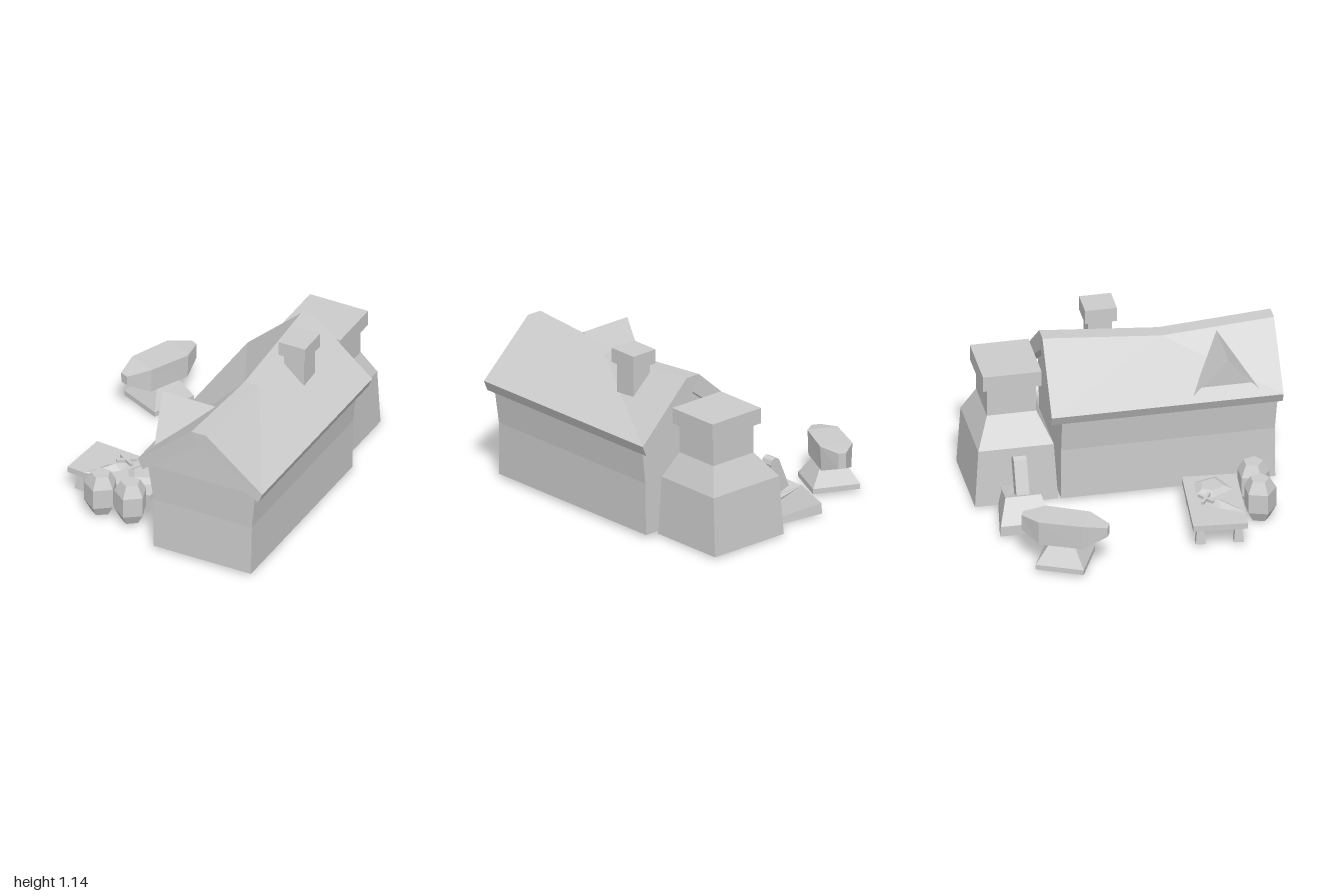
import * as THREE from 'three';

const grey = new THREE.MeshStandardMaterial({ color: 0xcccccc, flatShading: true });
const greyOpen = new THREE.MeshStandardMaterial({ color: 0xcccccc, flatShading: true, side: THREE.DoubleSide });

function mesh(name, geometry, parent, material = grey) {
  const m = new THREE.Mesh(geometry, material);
  m.name = name;
  parent.add(m);
  return m;
}

// Flat-faced geometry from a list of triangles of [x, y, z] corners
function fromTriangles(tris) {
  const g = new THREE.BufferGeometry();
  g.setAttribute('position', new THREE.Float32BufferAttribute(tris.flat(2), 3));
  g.computeVertexNormals();
  return g;
}

// Skin through matching rings, capped at the end and, unless open, at the start.
// The faces are turned outward by the sign of the volume.
function loft(rings, { open = false, flip = () => false } = {}) {
  const tris = [], n = rings[0].length, last = rings[rings.length - 1];
  for (let i = 0; i < rings.length - 1; i++) {
    for (let j = 0; j < n; j++) {
      const k = (j + 1) % n;
      const [a, b, c, d] = [rings[i][j], rings[i][k], rings[i + 1][k], rings[i + 1][j]];
      if (flip(i, j)) tris.push([a, b, d], [b, c, d]);
      else tris.push([a, b, c], [a, c, d]);
    }
  }
  for (let j = 1; j < n - 1; j++) {
    tris.push([last[0], last[j], last[j + 1]]);
    if (!open) tris.push([rings[0][0], rings[0][j + 1], rings[0][j]]);
  }
  const v = (p) => new THREE.Vector3(...p);
  const volume = tris.reduce((s, [a, b, c]) => s + v(a).dot(v(b).cross(v(c))), 0);
  return fromTriangles(volume < 0 ? tris.map(([a, b, c]) => [a, c, b]) : tris);
}

// Horizontal rectangle used as a loft ring
const rect = (y, x0, x1, z0, z1) => [[x0, y, z0], [x1, y, z0], [x1, y, z1], [x0, y, z1]];

function box(name, parent, x0, x1, y0, y1, z0, z1) {
  return mesh(name, loft([rect(y0, x0, x1, z0, z1), rect(y1, x0, x1, z0, z1)]), parent);
}

// Bar between two points in the xy plane
function bar(name, parent, [xa, ya], [xb, yb], thick, depth, z) {
  const m = mesh(name, new THREE.BoxGeometry(Math.hypot(xb - xa, yb - ya), thick, depth), parent);
  m.position.set((xa + xb) / 2, (ya + yb) / 2, z);
  m.rotation.z = Math.atan2(yb - ya, xb - xa);
  return m;
}

function buildHouse() {
  const g = new THREE.Group();
  g.name = 'house';
  // Walls are hollow and open below
  mesh('walls', loft([
    rect(0.025, 0.08, 0.78, -0.445, 0.945),
    rect(0.38, 0.08, 0.785, -0.445, 0.942),
    rect(0.64, 0.045, 0.815, -0.445, 0.955),
    rect(0.945, 0.43, 0.43, -0.445, 0.955),
  ], { open: true }), g, greyOpen);

  // Roof section along z; the ridge sags in the middle
  const section = (zEave, zRidge, yRidge) => [
    [0.43, 0.93, zRidge], [0.85, 0.61, zEave], [0.88, 0.68, zEave], [0.485, yRidge, zRidge],
    [0.38, yRidge, zRidge], [-0.015, 0.68, zEave], [0.02, 0.61, zEave],
  ];
  mesh('roof', loft(
    [section(-0.525, -0.505, 1.04), section(0.27, 0.27, 0.97), section(0.98, 0.998, 1.02)],
    { flip: (i, j) => j === (i ? 2 : 4) }), g);

  // Dormer: overhanging pointed roof with a recessed gable
  const tip = [-0.025, 0.98, 0.62], back = [0.355, 0.98, 0.62];
  const low = (z) => [0.03, 0.7, z];
  mesh('dormerRoof', fromTriangles([[tip, back, low(0.395)], [tip, low(0.84), back]]), g, greyOpen);
  mesh('dormerGable', fromTriangles([
    [[0.06, 0.95, 0.62], [0.07, 0.72, 0.425], [0.07, 0.72, 0.81]],
  ]), g, greyOpen);

  box('chimneyShaft', g, 0.507, 0.65, 0.8, 1.06, -0.183, -0.028);
  box('chimneyCap', g, 0.482, 0.672, 1.05, 1.147, -0.207, 0);
  return g;
}

function buildForge() {
  const g = new THREE.Group();
  g.name = 'forge';
  mesh('forgeChimney', loft([
    rect(0.015, 0.1, 0.69, -1, -0.46),
    rect(0.41, 0.118, 0.68, -0.975, -0.485),
    rect(0.585, 0.26, 0.605, -0.89, -0.57),
    rect(0.785, 0.26, 0.605, -0.89, -0.57),
  ], { open: true }), g, greyOpen);
  box('forgeChimneyCap', g, 0.225, 0.642, 0.785, 0.89, -0.922, -0.542);

  // Bellows: open below, wide at the lever end and narrowing into the forge
  const across = (x, y, w) => [[x, y, -0.745 - w], [x, y, -0.745 + w]];
  const ring = (...ends) => {
    const [a, b, c] = ends.map((e) => across(...e));
    return [a[0], b[0], c[0], c[1], b[1], a[1]];
  };
  mesh('bellows', loft([
    ring([-0.3, 0.02, 0.175], [0.12, 0.01, 0.1], [0.35, 0.002, 0.09]),
    ring([-0.3, 0.09, 0.17], [0.12, 0.05, 0.095], [0.35, 0.04, 0.085]),
    ring([-0.18, 0.23, 0.115], [0.12, 0.115, 0.08], [0.35, 0.08, 0.07]),
  ], { open: true }), g, greyOpen);
  bar('bellowsLever', g, [-0.105, 0.2], [-0.025, 0.395], 0.08, 0.085, -0.738);
  const knuckle = mesh('leverKnuckle', new THREE.CylinderGeometry(0.04, 0.04, 0.085, 8), g);
  knuckle.rotation.x = Math.PI / 2;
  knuckle.position.set(-0.025, 0.395, -0.738);
  bar('bellowsLink', g, [-0.02, 0.37], [0.14, 0.24], 0.06, 0.035, -0.738);
  return g;
}

function buildAnvil() {
  const g = new THREE.Group();
  g.name = 'anvil';
  const square = (y, h) => rect(y, -h, h, -h, h);
  mesh('anvilFoot', loft([square(0.025, 0.157), square(0.06, 0.157), square(0.18, 0.085)],
    { open: true }), g, greyOpen);
  const slice = (z, top, bottom, y0, y1) =>
    [[-bottom, y0, z], [bottom, y0, z], [top, y1, z], [-top, y1, z]];
  mesh('anvilHead', loft([
    slice(-0.28, 0.025, 0.025, 0.23, 0.335),
    slice(-0.15, 0.108, 0.1, 0.178, 0.345),
    slice(0.14, 0.1, 0.095, 0.178, 0.345),
    slice(0.283, 0.03, 0.028, 0.25, 0.315),
  ]), g);
  g.position.set(-0.675, 0, -0.574);
  g.rotation.y = -0.43;
  return g;
}

function buildTable() {
  const g = new THREE.Group();
  g.name = 'table';
  box('tableTop', g, -0.31, 0.31, 0.14, 0.18, -0.175, 0.175);
  for (const sx of [-1, 1]) {
    for (const sz of [-1, 1]) {
      const leg = mesh('tableLeg', loft([
        rect(0.02, -0.032, 0.032, -0.032, 0.032), rect(0.145, -0.02, 0.02, -0.02, 0.02),
      ]), g);
      leg.position.set(sx * 0.238, 0, sz * 0.122);
    }
  }

  // Things laid on the top: a wedge blade, crossed tongs and a crumpled pouch
  mesh('blade', loft([
    [[-0.19, 0.18, 0.18], [-0.11, 0.18, 0.135], [-0.155, 0.185, 0.155]],
    [[-0.11, 0.18, 0.02], [0, 0.18, 0.035], [-0.05, 0.21, 0.02]],
    [[-0.05, 0.18, -0.04], [0.01, 0.18, -0.03], [-0.015, 0.2, -0.035]],
  ]), g);
  for (const angle of [0.7, -0.45]) {
    const tong = mesh('tong', new THREE.BoxGeometry(0.13, 0.02, 0.02), g);
    tong.position.set(-0.015, 0.205, -0.06);
    tong.rotation.y = angle;
  }
  const pouchRing = (y, s) => [[-0.06, -0.105], [0.09, -0.1], [0.145, 0.045], [-0.02, 0.135], [-0.11, 0]]
    .map(([x, z]) => [0.145 + x * s, y, -0.005 + z * s]);
  mesh('pouch', loft([pouchRing(0.18, 1), pouchRing(0.205, 0.6)]), g);

  g.position.set(-0.392, 0, 0.456);
  g.rotation.y = -0.085;
  return g;
}

export function createModel() {
  const model = new THREE.Group();
  model.name = 'smithy';
  model.add(buildHouse(), buildForge(), buildAnvil(), buildTable());

  // Five-sided barrels beside the table
  const profile = [[0, 0.028], [0.065, 0.028], [0.108, 0.1], [0.108, 0.235], [0.065, 0.313], [0, 0.313]]
    .map(([r, y]) => new THREE.Vector2(r, y));
  for (const x of [-0.402, -0.187]) {
    mesh('barrel', new THREE.LatheGeometry(profile, 5), model).position.set(x, 0, 0.745);
  }
  return model;
}
